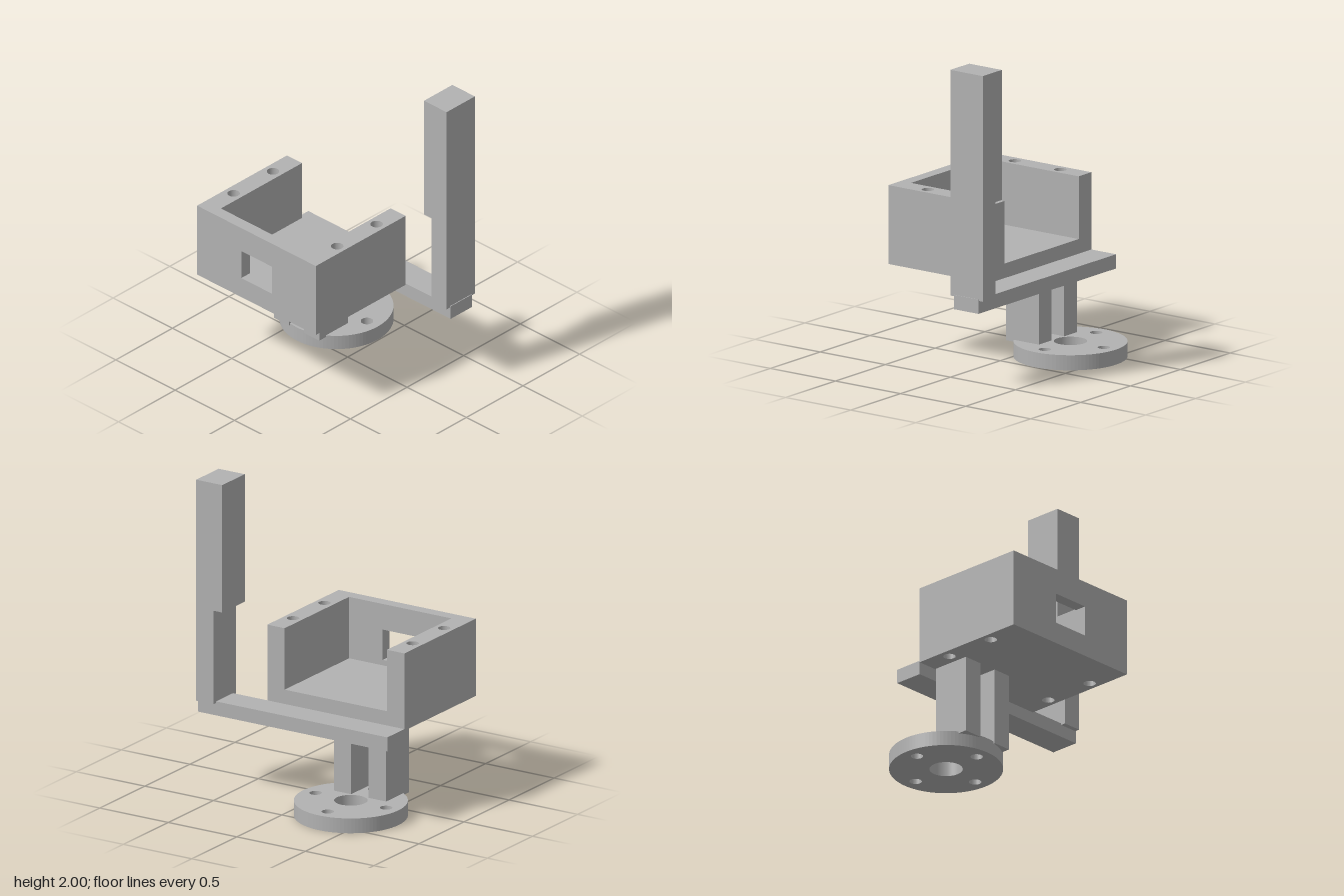
import * as THREE from 'three';

const grey = new THREE.MeshStandardMaterial({ color: 0xb2b2b2 });
grey.name = 'plain grey';

export function createModel() {
  const model = new THREE.Group();
  model.name = 'bracketStand';

  const add = (name, geometry) => {
    const mesh = new THREE.Mesh(geometry, grey);
    mesh.name = name;
    model.add(mesh);
    return mesh;
  };

  // Box given by its limits on each axis
  const block = (name, [x0, x1], [y0, y1], [z0, z1]) =>
    add(name, new THREE.BoxGeometry(x1 - x0, y1 - y0, z1 - z0)
      .translate((x0 + x1) / 2, (y0 + y1) / 2, (z0 + z1) / 2));

  const rectangle = (path, x0, x1, y0, y1) => {
    path.moveTo(x0, y0).lineTo(x1, y0).lineTo(x1, y1).lineTo(x0, y1).closePath();
    return path;
  };
  const circle = (path, x, y, r) => path.absarc(x, y, r, 0, Math.PI * 2, false);

  // Plan outline (drawn in x, -z) with round holes, extruded upward
  const plate = (name, shape, holes, y0, y1) => {
    for (const [x, z, r] of holes) shape.holes.push(circle(new THREE.Path(), x, -z, r));
    const geometry = new THREE.ExtrudeGeometry(shape, { depth: y1 - y0, bevelEnabled: false, curveSegments: 48 });
    return add(name, geometry.rotateX(-Math.PI / 2).translate(0, y0, 0));
  };

  // Round base flange with a centre bore and four bolt holes
  const cx = -0.352, cz = -0.27, bolt = 0.257, r = 0.038;
  plate('baseFlange', circle(new THREE.Shape(), cx, -cz, 0.348), [
    [cx, cz, 0.102],
    [cx + bolt, cz, r], [cx - bolt, cz, r], [cx, cz + bolt, r], [cx, cz - bolt, r],
  ], 0, 0.095);

  // Two legs carrying the tray
  block('rightLeg', [-0.545, -0.417], [0.083, 0.58], [-0.172, 0.08]);
  block('leftLeg', [-0.29, -0.163], [0.083, 0.58], [-0.172, 0.08]);

  // Open-backed tray: drilled side walls, floor and windowed front wall
  const y0 = 0.578, y1 = 1.075, back = -0.178, front = 0.615;
  for (const [name, x0, x1, hx] of [
    ['rightWall', -0.682, -0.555, -0.618],
    ['leftWall', 0.192, 0.318, 0.255],
  ]) {
    plate(name, rectangle(new THREE.Shape(), x0, x1, -front, -back),
      [[hx, 0.012, r], [hx, 0.36, r]], y0, y1);
  }
  block('trayFloor', [-0.555, 0.192], [y0, 0.68], [back, 0.538]);
  const frontShape = rectangle(new THREE.Shape(), -0.555, 0.192, y0, y1);
  frontShape.holes.push(rectangle(new THREE.Path(), -0.31, -0.053, 0.715, 0.91));
  add('frontWall', new THREE.ExtrudeGeometry(frontShape, { depth: front - 0.538, bevelEnabled: false })
    .translate(0, 0, 0.538));

  // Cross bar behind the tray
  block('crossBar', [-0.682, 0.698], [0.498, 0.588], [-0.367, back]);

  // Upright post with a slimmer lower part
  const post = new THREE.Shape();
  post.moveTo(0.568, 0.578).lineTo(0.693, 0.578).lineTo(0.693, 2).lineTo(0.503, 2)
    .lineTo(0.503, 1.18).lineTo(0.568, 1.18).closePath();
  add('post', new THREE.ExtrudeGeometry(post, { depth: 0.25, bevelEnabled: false }).translate(0, 0, -0.397));

  return model;
}
